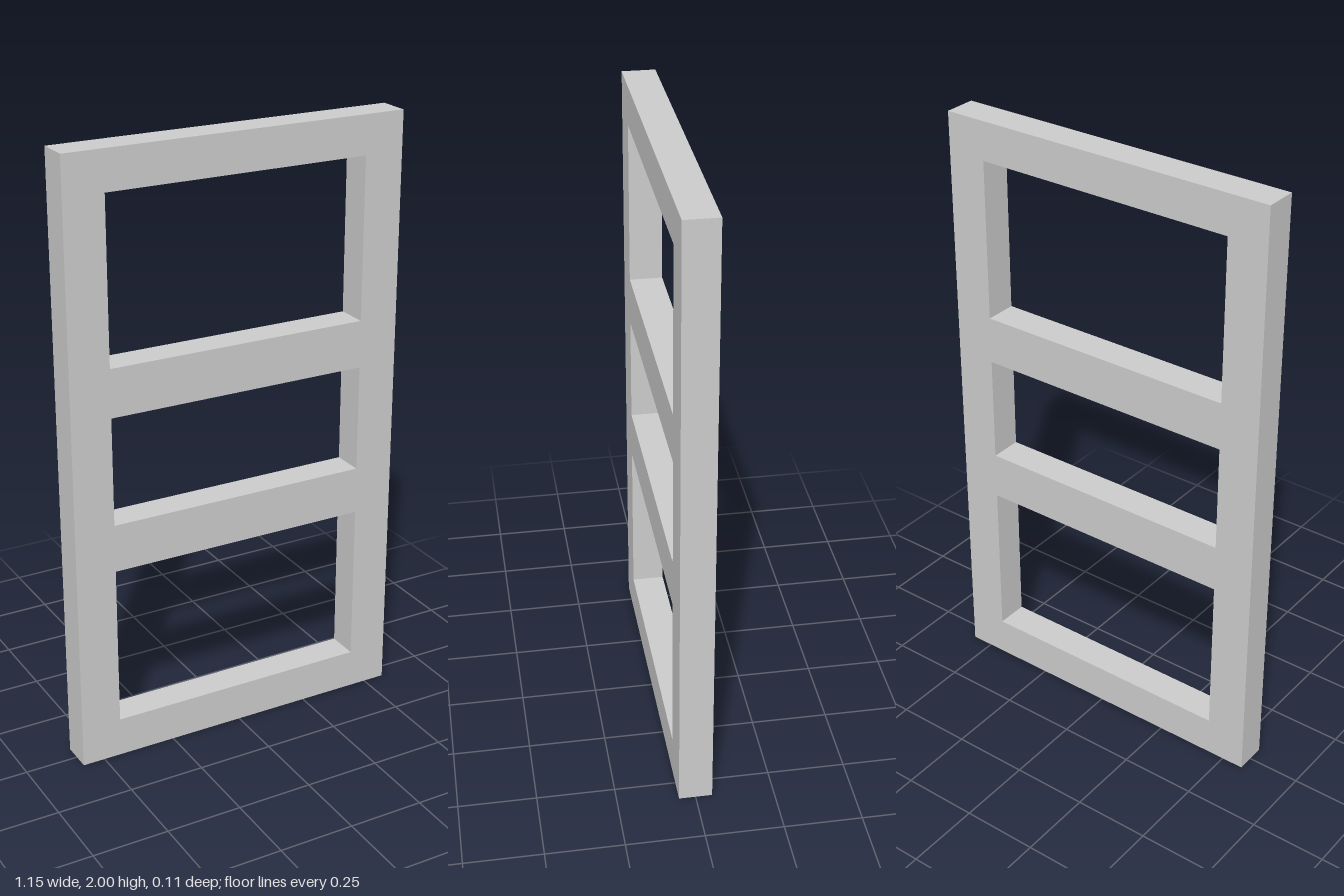
import * as THREE from 'three';

const HALF_WIDTH = 0.574, HEIGHT = 2, DEPTH = 0.107, OPENING_HALF = 0.441;
// bottom and top of each opening
const OPENINGS = [[0.131, 0.666], [0.824, 1.18], [1.338, 1.872]];

// Rectangle outline, usable as a shape or a hole
function rectangle(PathType, halfWidth, bottom, top) {
  return new PathType([
    [-halfWidth, bottom], [halfWidth, bottom], [halfWidth, top], [-halfWidth, top],
  ].map(([x, y]) => new THREE.Vector2(x, y)));
}

export function createModel() {
  const group = new THREE.Group();
  group.name = 'panelFrame';

  // One-piece frame: two stiles and four rails around three openings
  const outline = rectangle(THREE.Shape, HALF_WIDTH, 0, HEIGHT);
  for (const [bottom, top] of OPENINGS) {
    outline.holes.push(rectangle(THREE.Path, OPENING_HALF, bottom, top));
  }
  const geometry = new THREE.ExtrudeGeometry(outline, { depth: DEPTH, bevelEnabled: false });
  geometry.translate(0, 0, -DEPTH / 2);

  const frame = new THREE.Mesh(
    geometry,
    new THREE.MeshStandardMaterial({ color: 0xcccccc, flatShading: true }),
  );
  frame.name = 'frame';
  group.add(frame);
  return group;
}
